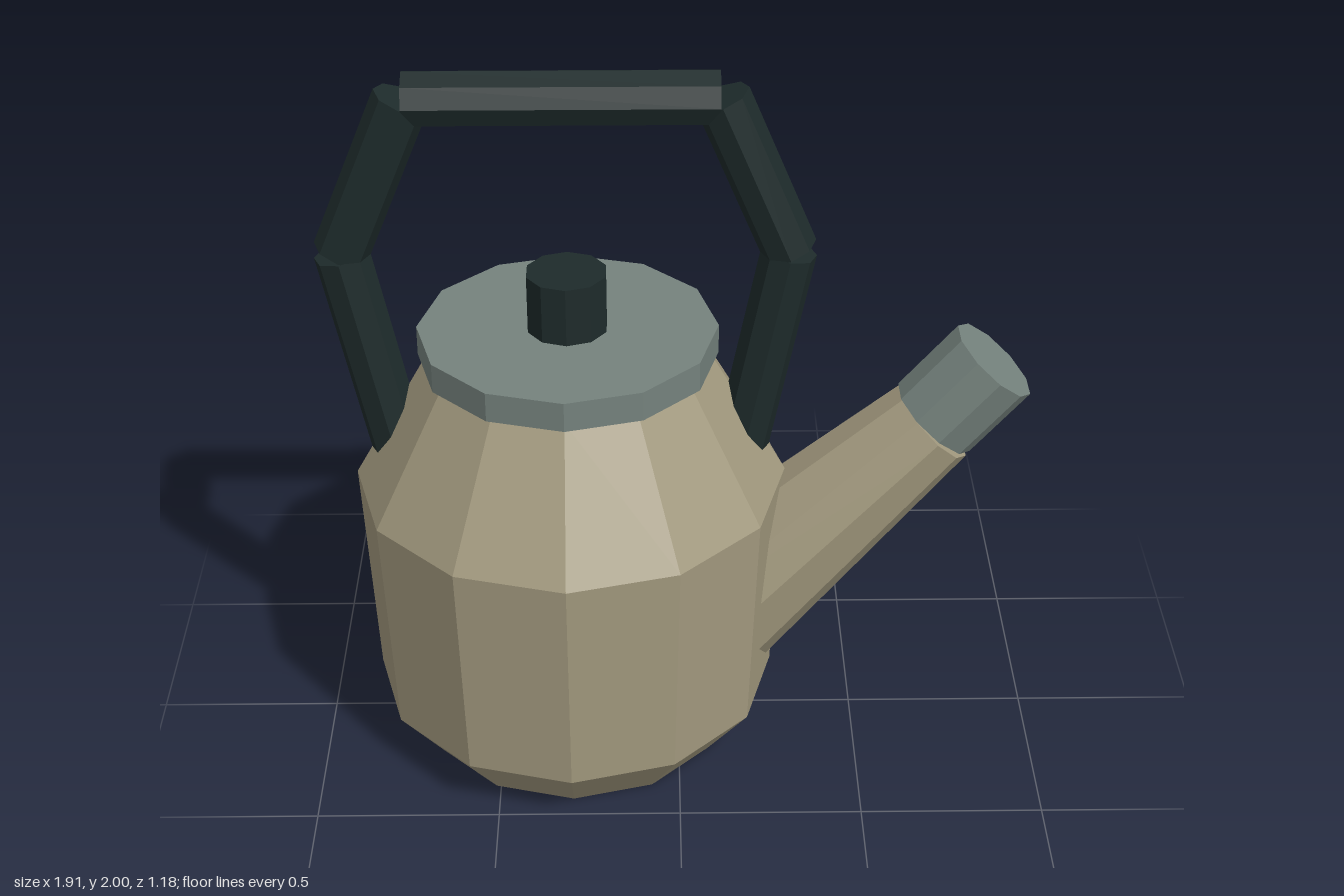
import * as THREE from 'three';

const enamel = new THREE.MeshStandardMaterial({ color: 0xa39a7f });
enamel.name = 'tan enamel';
const steel = new THREE.MeshStandardMaterial({ color: 0x75827d });
steel.name = 'grey steel';
const black = new THREE.MeshStandardMaterial({ color: 0x1e2b2b });
black.name = 'dark grip';

const BODY_X = -0.295;

// Faceted mesh with one normal per face
function facet(name, geometry, material) {
  const flat = geometry.toNonIndexed();
  flat.computeVertexNormals();
  const mesh = new THREE.Mesh(flat, material);
  mesh.name = name;
  return mesh;
}

// Faceted rod or cone between two points in the x-y plane
function rod(name, [x0, y0], [x1, y1], r0, r1, sides, material) {
  const dx = x1 - x0, dy = y1 - y0;
  const mesh = facet(name, new THREE.CylinderGeometry(r1, r0, Math.hypot(dx, dy), sides), material);
  mesh.position.set((x0 + x1) / 2, (y0 + y1) / 2, 0);
  mesh.rotation.z = -Math.atan2(dx, dy);
  return mesh;
}

export function createModel() {
  const kettle = new THREE.Group();
  kettle.name = 'kettle';

  // Body
  const profile = [[0, 0], [0.435, 0], [0.56, 0.16], [0.59, 0.81], [0.375, 1.19], [0, 1.19]]
    .map(([r, y]) => new THREE.Vector2(r, y));
  const body = facet('body', new THREE.LatheGeometry(profile, 12), enamel);
  body.position.x = BODY_X;
  kettle.add(body);

  // Lid and knob
  kettle.add(rod('lid', [BODY_X, 1.182], [BODY_X, 1.265], 0.404, 0.404, 12, steel));
  kettle.add(rod('knob', [BODY_X, 1.25], [BODY_X, 1.43], 0.11, 0.11, 10, black));

  // Spout, whose base is buried in the body, and its tip
  kettle.add(rod('spout', [0.085, 0.35], [0.698, 0.963], 0.219, 0.134, 10, enamel));
  kettle.add(rod('spoutTip', [0.7, 0.972], [0.853, 1.152], 0.135, 0.135, 10, steel));

  // Handle: straight bars, mirrored about the body axis
  const handle = new THREE.Group();
  handle.name = 'handle';
  const R = 0.0745;
  handle.add(rod('handleTop', [BODY_X - 0.403, 1.926], [BODY_X + 0.403, 1.926], R, R, 8, black));
  for (const [side, s] of [['left', 1], ['right', -1]]) {
    const at = (x, y) => [BODY_X + s * x, y];
    handle.add(rod(side + 'HandleUpper', at(0.588, 1.492), at(0.407, 1.925), R, R, 8, black));
    handle.add(rod(side + 'HandleLower', at(0.462, 0.86), at(0.587, 1.488), R, R, 8, black));
  }
  kettle.add(handle);

  return kettle;
}
